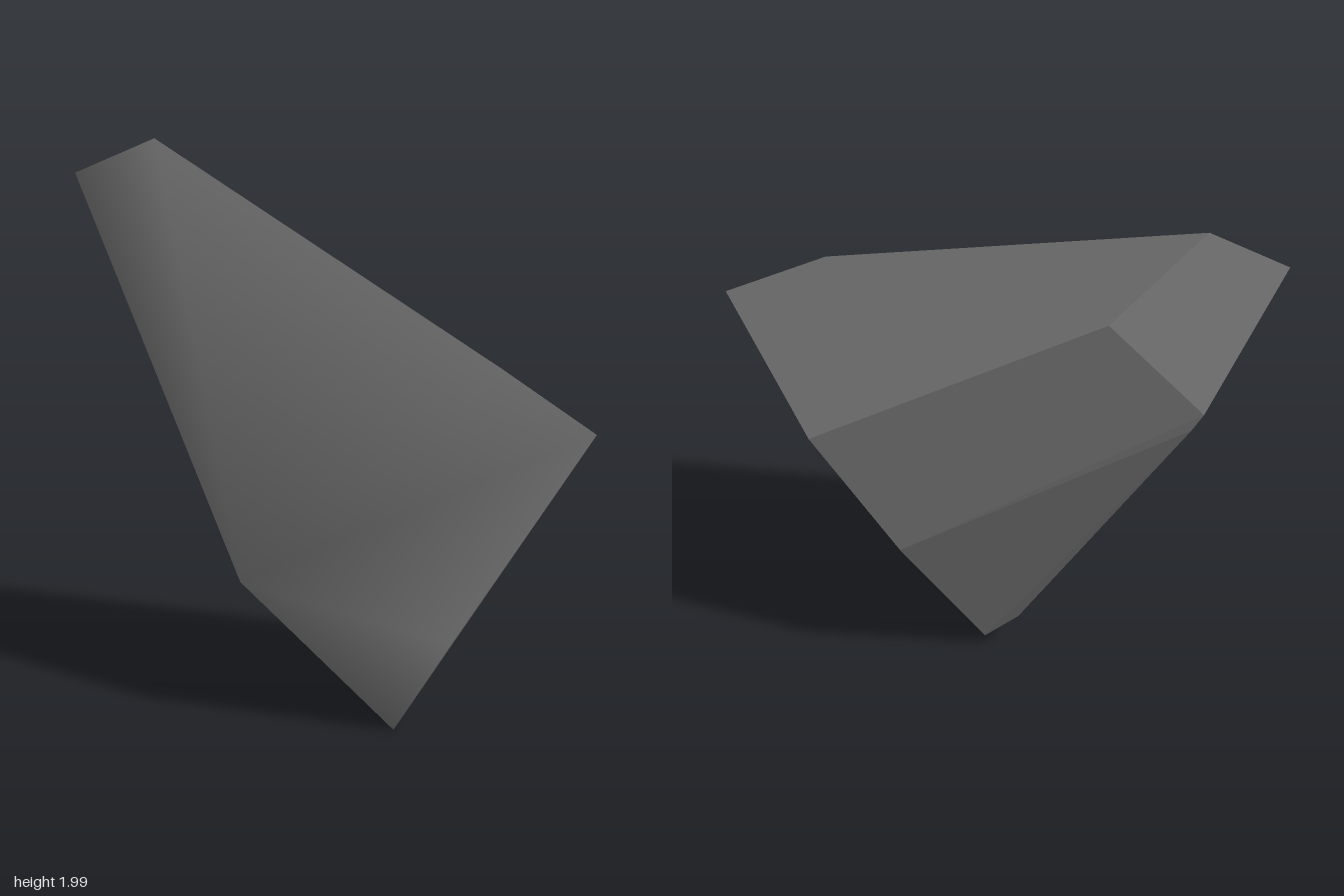
import * as THREE from 'three';
import { ConvexGeometry } from 'three/addons/geometries/ConvexGeometry.js';
import { mergeVertices } from 'three/addons/utils/BufferGeometryUtils.js';

// corners of the stone shard
const CORNERS = [
  [-0.48, 1.99, -0.81], [-0.72, 1.84, -1.0], // peak
  [-0.08, 1.67, -0.71], [-0.33, 1.31, -0.98], // back
  [-0.30, 1.23, -0.94], [0.01, 0.14, -0.25], // back lower edge
  [0.71, 1.01, 0.14], [0.47, 1.13, 1.0], [0.22, 1.35, 0.70], // front upper edge
  [0.47, 0.55, -0.12], [0.10, 0.04, -0.16], // right lower edge
  [-0.26, 0.0, 0.73], [-0.06, 0.33, 0.82], [-0.67, 0.52, 0.26], // foot and left side
];

function geometryOf(positions) {
  const g = new THREE.BufferGeometry();
  g.setAttribute('position', new THREE.Float32BufferAttribute(positions, 3));
  return g;
}

export function createModel() {
  const stone = new THREE.MeshStandardMaterial({ color: 0x707070 });
  stone.name = 'grey stone';
  const group = new THREE.Group();
  group.name = 'stoneShard';

  // sort the faces: the left side is worn smooth, the others are cut flat
  const hull = new ConvexGeometry(CORNERS.map((c) => new THREE.Vector3(...c)));
  const pos = hull.getAttribute('position');
  const worn = [], cut = [];
  const tri = new THREE.Triangle(), normal = new THREE.Vector3();
  for (let i = 0; i < pos.count; i += 3) {
    tri.setFromAttributeAndIndices(pos, i, i + 1, i + 2);
    tri.getNormal(normal);
    const list = normal.x < -0.2 ? worn : cut;
    list.push(...tri.a.toArray(), ...tri.b.toArray(), ...tri.c.toArray());
  }

  const wornGeometry = mergeVertices(geometryOf(worn));
  wornGeometry.computeVertexNormals();
  const cutGeometry = geometryOf(cut);
  cutGeometry.computeVertexNormals();

  const wornSide = new THREE.Mesh(wornGeometry, stone);
  wornSide.name = 'wornLeftSide';
  const cutFaces = new THREE.Mesh(cutGeometry, stone);
  cutFaces.name = 'cutFaces';
  group.add(wornSide, cutFaces);
  return group;
}
